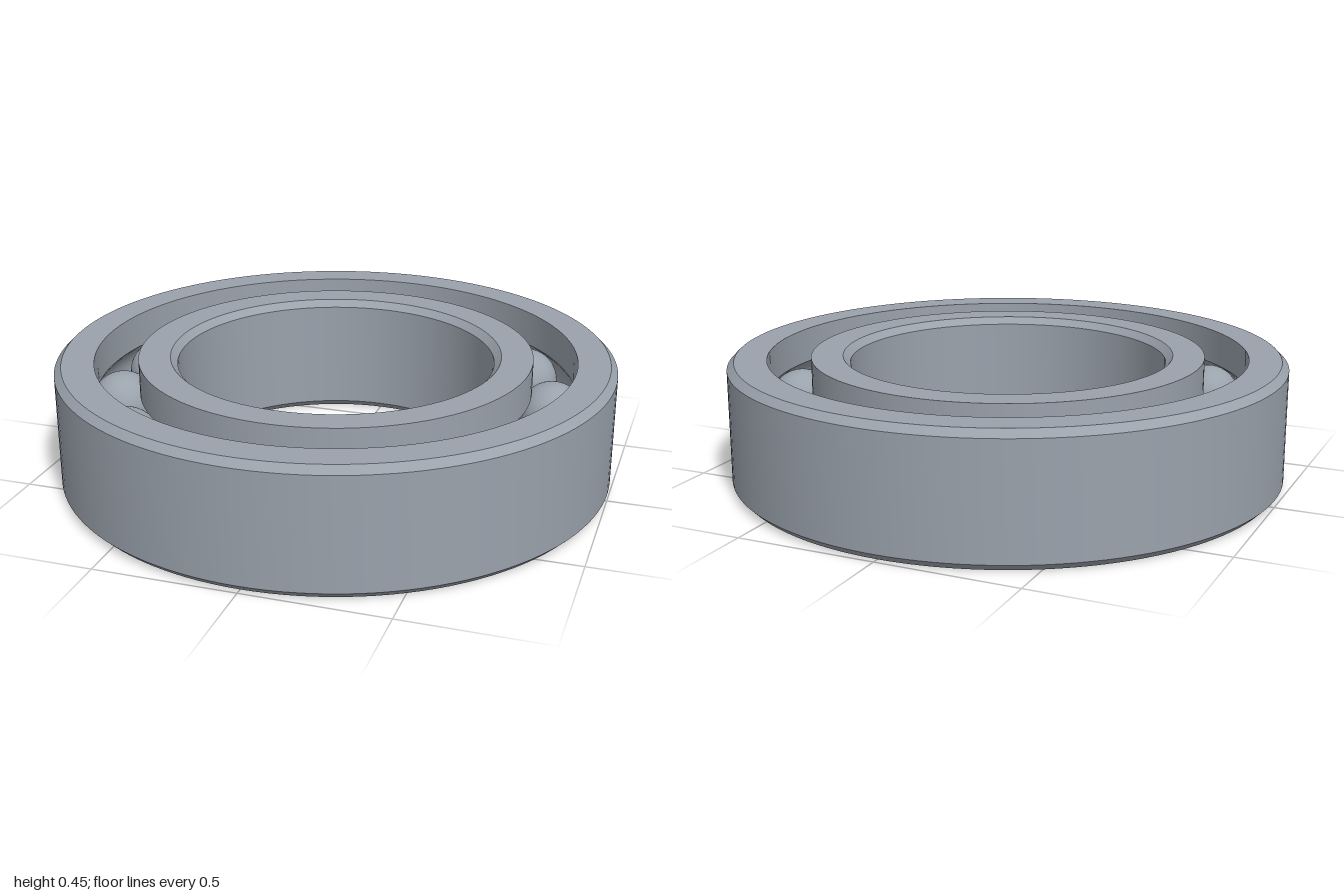
import * as THREE from 'three';
import { toCreasedNormals } from 'three/addons/utils/BufferGeometryUtils.js';

const HEIGHT = 0.45, MID = HEIGHT / 2, BEVEL = 0.025;
const BORE = 0.567, INNER_WALL = 0.705, OUTER_WALL = 0.86, RIM = 1;
const PITCH = (INNER_WALL + OUTER_WALL) / 2;
const BALL_RADIUS = 0.12, GROOVE_RADIUS = 0.124, BALL_COUNT = 14;

// Ball groove cut into a wall; side is +1 for the outer ring, -1 for the inner
function groove(side) {
  const reach = Math.acos((OUTER_WALL - PITCH) / GROOVE_RADIUS);
  const steps = 16, points = [];
  for (let i = 0; i <= steps; i++) {
    const a = side * reach * (1 - (2 * i) / steps);
    points.push([PITCH + side * GROOVE_RADIUS * Math.cos(a), MID + GROOVE_RADIUS * Math.sin(a)]);
  }
  return points;
}

// Closed profile revolved about y, with sharp edges kept
function ring(name, profile, material) {
  const points = [...profile, profile[0]].map(([r, y]) => new THREE.Vector2(r, y));
  const geometry = toCreasedNormals(new THREE.LatheGeometry(points, 128), Math.PI / 7);
  const mesh = new THREE.Mesh(geometry, material);
  mesh.name = name;
  return mesh;
}

export function createModel() {
  const steel = new THREE.MeshStandardMaterial({ color: 0x9aa2ac });
  steel.name = 'steel';
  const model = new THREE.Group();
  model.name = 'ballBearing';

  // Outer race, bevelled on its outside edges
  model.add(ring('outerRace', [
    [RIM - BEVEL, 0], [RIM, BEVEL], [RIM, HEIGHT - BEVEL], [RIM - BEVEL, HEIGHT],
    [OUTER_WALL, HEIGHT], ...groove(1), [OUTER_WALL, 0],
  ], steel));

  // Inner race, bevelled on its bore edges
  model.add(ring('innerRace', [
    [INNER_WALL, 0], ...groove(-1), [INNER_WALL, HEIGHT],
    [BORE + BEVEL, HEIGHT], [BORE, HEIGHT - BEVEL], [BORE, BEVEL], [BORE + BEVEL, 0],
  ], steel));

  // Balls spaced evenly between the races
  const balls = new THREE.Group();
  balls.name = 'balls';
  const ballGeometry = new THREE.SphereGeometry(BALL_RADIUS, 40, 28);
  const start = THREE.MathUtils.degToRad(11.8);
  for (let i = 0; i < BALL_COUNT; i++) {
    const a = start + (i / BALL_COUNT) * Math.PI * 2;
    const ball = new THREE.Mesh(ballGeometry, steel);
    ball.name = 'ball' + (i + 1);
    ball.position.set(PITCH * Math.cos(a), MID, PITCH * Math.sin(a));
    balls.add(ball);
  }
  model.add(balls);
  return model;
}
